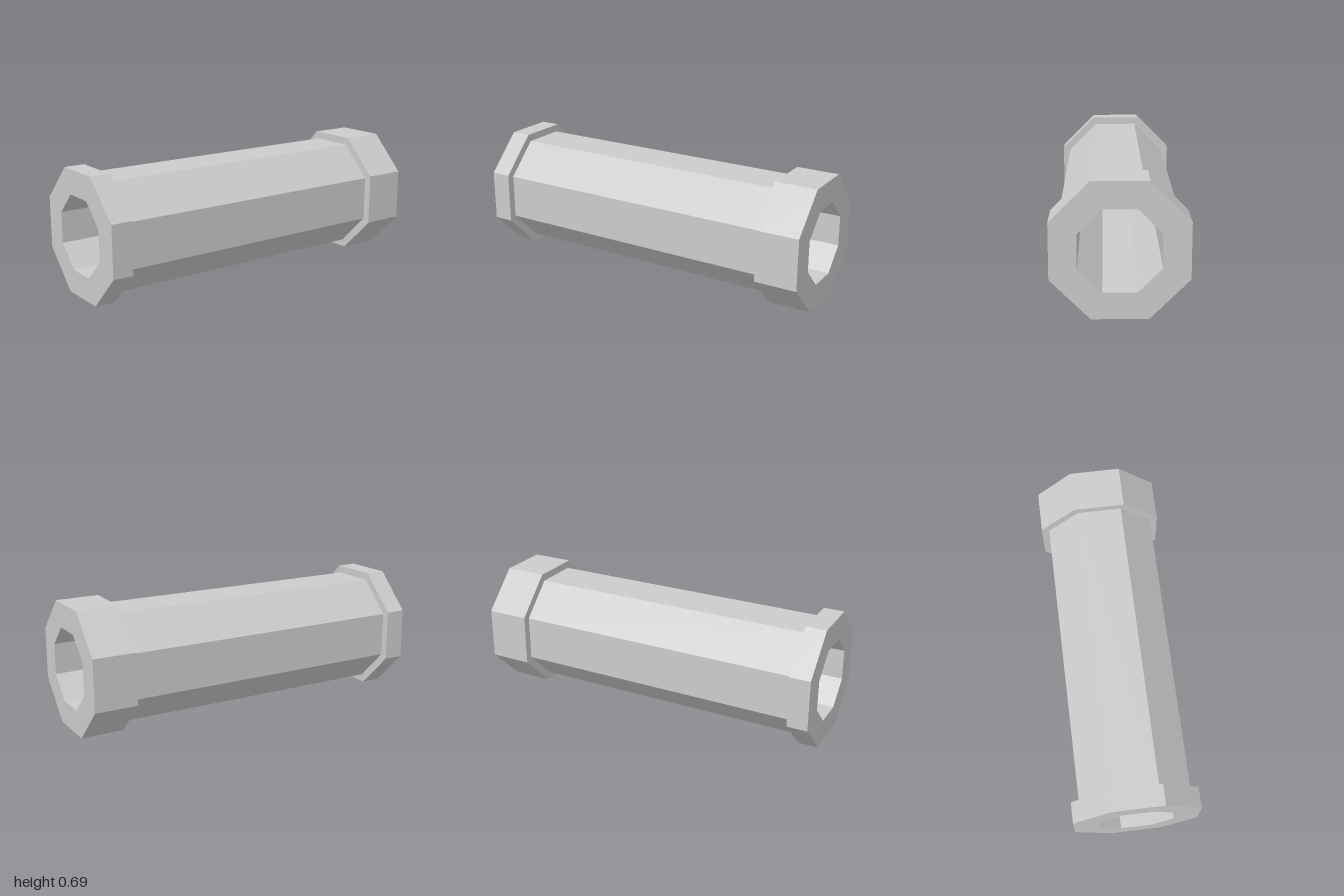
import * as THREE from 'three';

const SIDES = 8;
const COLLAR = 0.347, BARREL = 0.304, BORE = 0.209; // distances from axis to flats
const LEFT_END = 1, LEFT_STEP = 0.76, RIGHT_STEP = -0.885, RIGHT_END = -1;

export function createModel() {
  const group = new THREE.Group();
  group.name = 'octagonalSleeve';
  const material = new THREE.MeshStandardMaterial({ color: 0xcccccc, flatShading: true });

  // Octagonal surface swept about the x axis; profile is [flat distance, x]
  const addPart = (name, profile) => {
    const points = profile.map(([r, x]) => new THREE.Vector2(r / Math.cos(Math.PI / SIDES), x));
    const geometry = new THREE.LatheGeometry(points, SIDES, Math.PI / SIDES);
    geometry.rotateZ(-Math.PI / 2);
    const mesh = new THREE.Mesh(geometry, material);
    mesh.name = name;
    mesh.position.y = COLLAR;
    group.add(mesh);
  };

  // Wide collar: shoulder, outer flats, end ring, bore
  addPart('leftCollar', [
    [BARREL, LEFT_STEP], [COLLAR, LEFT_STEP], [COLLAR, LEFT_END], [BORE, LEFT_END], [BORE, LEFT_STEP],
  ]);

  // Narrow collar: bore, end ring, outer flats, shoulder
  addPart('rightCollar', [
    [BORE, RIGHT_STEP], [BORE, RIGHT_END], [COLLAR, RIGHT_END], [COLLAR, RIGHT_STEP], [BARREL, RIGHT_STEP],
  ]);

  // Barrel between the collars, and the hole through it
  addPart('barrel', [[BARREL, RIGHT_STEP], [BARREL, LEFT_STEP]]);
  addPart('bore', [[BORE, LEFT_STEP], [BORE, RIGHT_STEP]]);

  return group;
}
